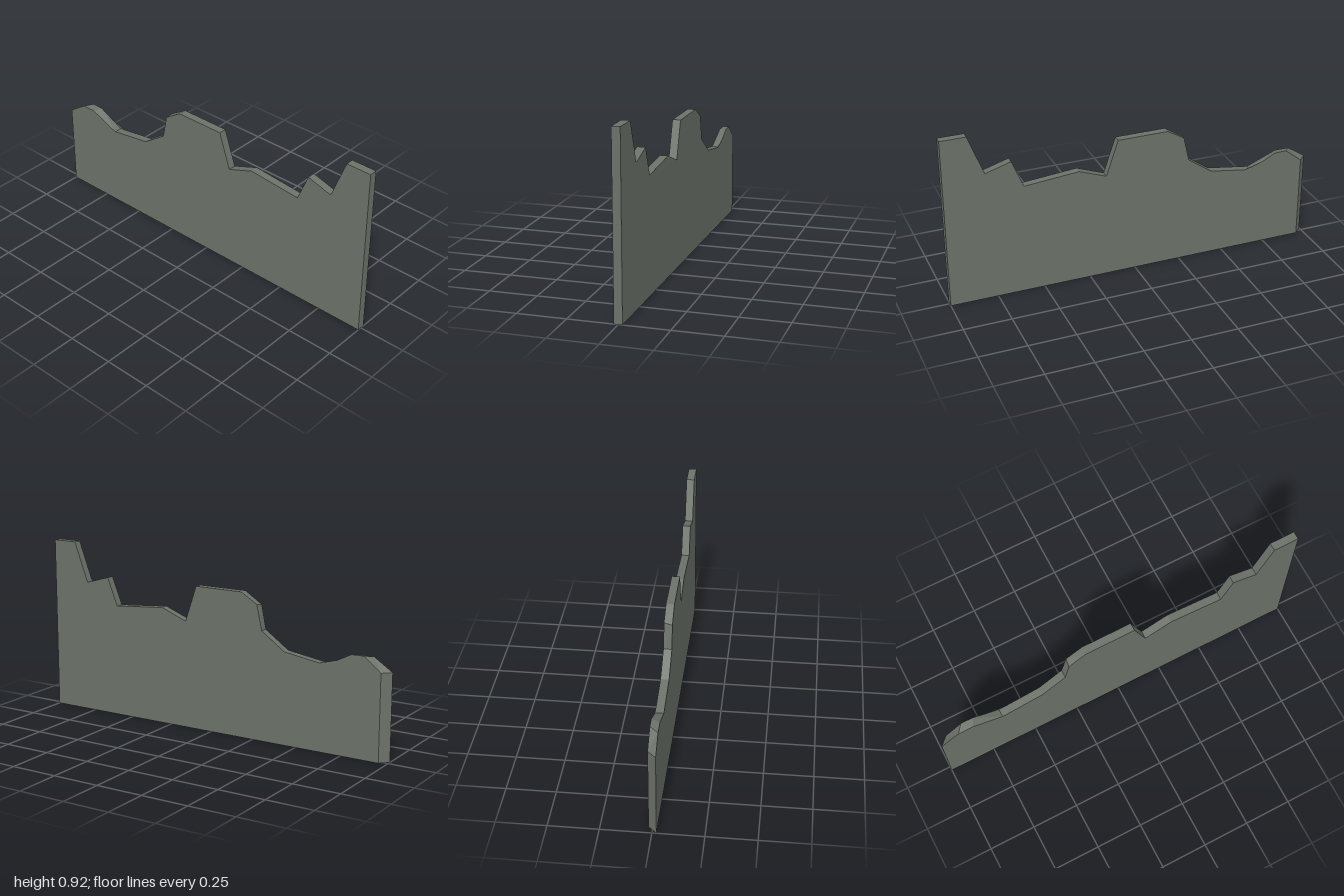
import * as THREE from 'three';

const DEPTH = 0.042;

// Skyline from left foot to right foot: x, y and, where it differs, the rear x, y
const OUTLINE = [
  [-1, 0, -0.958, 0], [-1, 0.45, -0.958, 0.45],
  [-0.9, 0.515, -0.865, 0.522], [-0.82, 0.515, -0.8, 0.521],
  [-0.66, 0.45], [-0.43, 0.485], [-0.3, 0.575],
  [-0.275, 0.7, -0.27, 0.707], [-0.18, 0.76],
  [0.09, 0.76], [0.155, 0.57], [0.3, 0.625], [0.59, 0.6],
  [0.65, 0.748], [0.785, 0.708], [0.865, 0.92], [1, 0.92], [1, 0],
];

export function createModel() {
  const group = new THREE.Group();
  group.name = 'brokenWall';

  const stone = new THREE.MeshStandardMaterial({ color: 0x6c7269 });
  stone.name = 'grey stone';

  // Flat slab with a jagged top
  const shape = new THREE.Shape(OUTLINE.map(([x, y]) => new THREE.Vector2(x, y)));
  const geometry = new THREE.ExtrudeGeometry(shape, { depth: DEPTH, bevelEnabled: false });
  geometry.translate(0, 0, -DEPTH / 2);

  // Shift rear corners to mitre the left end and skew the broken peaks
  const pos = geometry.attributes.position;
  for (let i = 0; i < pos.count; i++) {
    if (pos.getZ(i) > 0) continue;
    const corner = OUTLINE.find(([x, y, rearX]) => rearX !== undefined
      && Math.abs(x - pos.getX(i)) < 1e-4 && Math.abs(y - pos.getY(i)) < 1e-4);
    if (corner) pos.setXY(i, corner[2], corner[3]);
  }
  geometry.computeVertexNormals();

  const slab = new THREE.Mesh(geometry, stone);
  slab.name = 'wallSlab';
  group.add(slab);
  return group;
}
